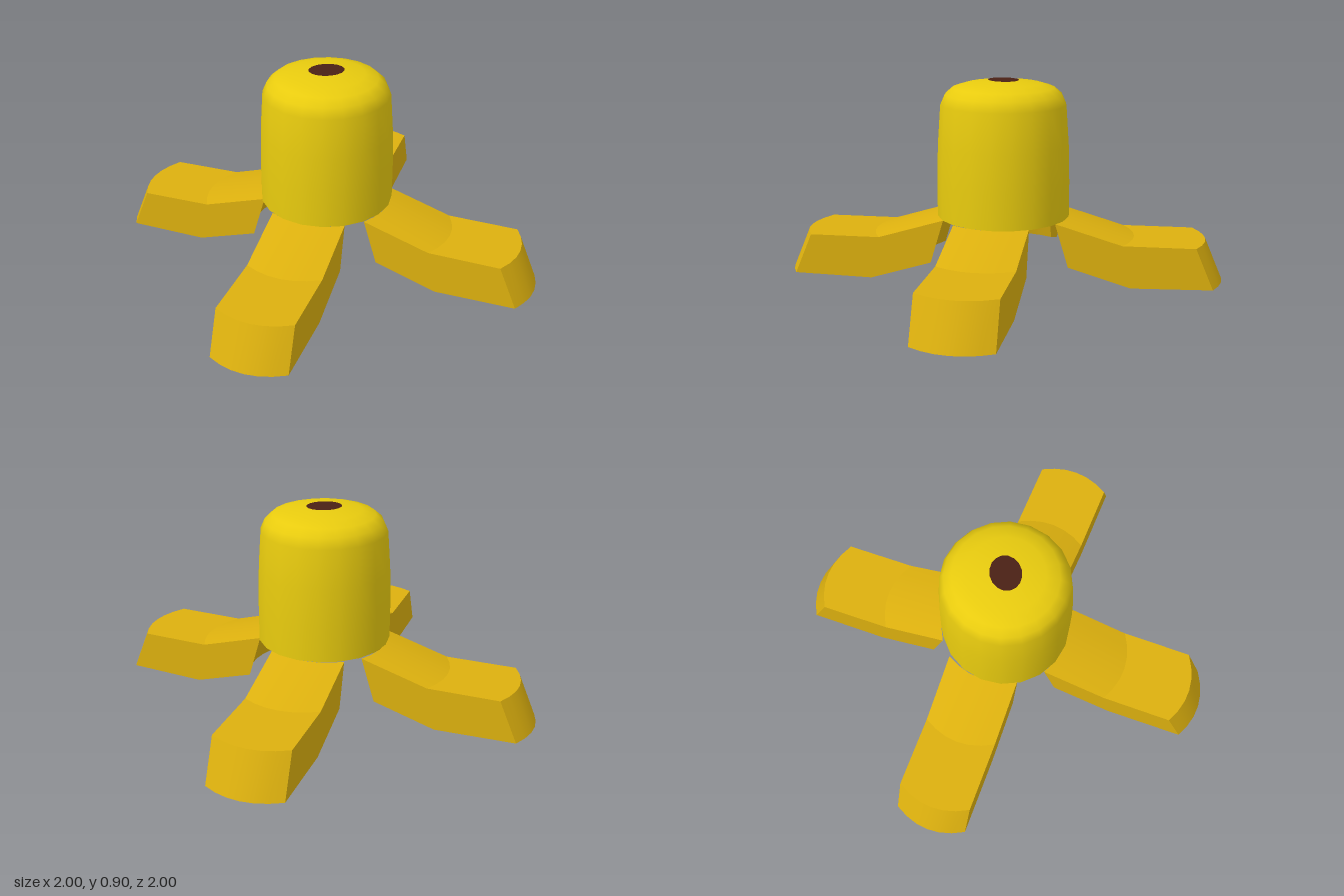
import * as THREE from 'three';
import { toCreasedNormals } from 'three/addons/utils/BufferGeometryUtils.js';

const mat = (color, side = THREE.FrontSide) => new THREE.MeshStandardMaterial({ color, side });
const v2 = (list) => list.map(([x, y]) => new THREE.Vector2(x, y));

// Bent flap: side profile swept across its width, with the ends bowed in plan
function flapGeometry() {
  const width = 0.34, bow = 0.05;
  const profile = new THREE.Shape(v2([
    [0.36, 0.09], [0.64, 0.005], [1.0, 0.013], [0.92, 0.2], [0.6, 0.2], [0.3, 0.29],
  ]));
  const geo = new THREE.ExtrudeGeometry(profile, { depth: width, steps: 6, bevelEnabled: false });
  geo.translate(0, 0, -width / 2);
  const p = geo.attributes.position;
  for (let i = 0; i < p.count; i++) {
    const v = p.getZ(i) / (width / 2);
    p.setX(i, p.getX(i) - bow * v * v);
  }
  return toCreasedNormals(geo, 0.25);
}

export function createModel() {
  const model = new THREE.Group();
  model.name = 'peeledFruit';

  // Hollow domed body, open at the bottom
  const body = new THREE.Mesh(
    new THREE.LatheGeometry(v2([
      [0.303, 0.29], [0.303, 0.45], [0.298, 0.62], [0.285, 0.8],
      [0.265, 0.845], [0.23, 0.875], [0.17, 0.893], [0.07, 0.905], [0, 0.905],
    ]), 20),
    mat(0xe8cb0e, THREE.DoubleSide));
  body.name = 'body';
  model.add(body);

  // Dark oval tip
  const tip = new THREE.Mesh(new THREE.CircleGeometry(1, 16), mat(0x4a2015));
  tip.name = 'tip';
  tip.scale.set(0.08, 0.068, 1);
  tip.rotation.set(-Math.PI / 2, 0, 0.6);
  tip.position.y = 0.908;
  model.add(tip);

  // Four flaps, each slightly skewed: name, heading, x and z offset
  const geo = flapGeometry(), flapMat = mat(0xdcb00e);
  for (const [name, heading, x, z] of [
    ['leftFlap', -0.01, 0, 0.007],
    ['frontFlap', -Math.PI / 2 + 0.045, 0, 0],
    ['rightFlap', Math.PI + 0.03, 0, -0.018],
    ['backFlap', Math.PI / 2 + 0.057, -0.013, 0],
  ]) {
    const flap = new THREE.Mesh(geo, flapMat);
    flap.name = name;
    flap.rotation.y = heading;
    flap.position.set(x, 0, z);
    model.add(flap);
  }
  return model;
}
